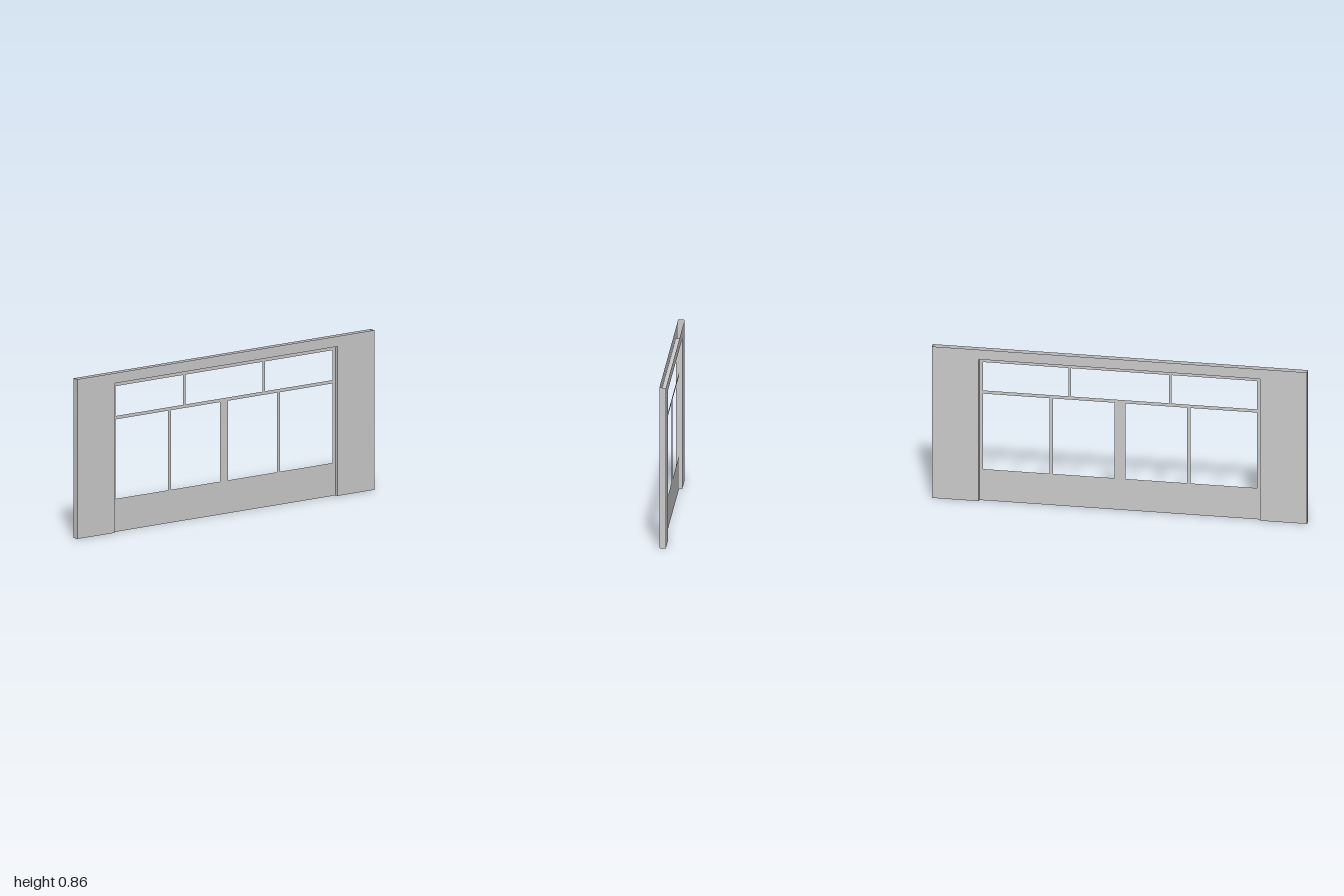
import * as THREE from 'three';

const H = 0.855, D = 0.034;          // wall height and depth
const OX = 0.75, OY = 0.8;           // opening half width and height
const material = new THREE.MeshStandardMaterial({ color: 0xcccccc, side: THREE.DoubleSide });

function add(group, name, geometry) {
  const mesh = new THREE.Mesh(geometry, material);
  mesh.name = name;
  group.add(mesh);
  return mesh;
}

const polygon = (points) => points.map(([x, y]) => new THREE.Vector2(x, y));
const rect = (x0, x1, y0, y1) => polygon([[x0, y0], [x1, y0], [x1, y1], [x0, y1]]);

export function createModel() {
  const model = new THREE.Group();
  model.name = 'windowWall';

  // Wall skins around the opening; the wall is hollow, open at top and bottom
  const wallShape = new THREE.Shape(polygon([
    [-1, 0], [-OX, 0], [-OX, OY], [OX, OY], [OX, 0], [1, 0], [1, H], [-1, H],
  ]));
  add(model, 'wallFront', new THREE.ShapeGeometry(wallShape)).position.z = D / 2;
  const back = add(model, 'wallBack', new THREE.ShapeGeometry(wallShape));
  back.rotation.y = Math.PI;
  back.position.z = -D / 2;

  // Wall ends and the side linings of the opening
  for (const s of [-1, 1]) {
    const side = s > 0 ? 'left' : 'right';
    const end = add(model, side + 'WallEnd', new THREE.PlaneGeometry(D, H));
    end.rotation.y = s * Math.PI / 2;
    end.position.set(s, H / 2, 0);
    const lining = add(model, side + 'Lining', new THREE.PlaneGeometry(D, OY));
    lining.rotation.y = -s * Math.PI / 2;
    lining.position.set(s * OX, OY / 2, 0);
  }

  // Underside of the lintel
  const soffit = add(model, 'soffit', new THREE.PlaneGeometry(2 * OX, D));
  soffit.rotation.x = Math.PI / 2;
  soffit.position.y = OY;

  // Thin window frame with three upper and four lower lights
  const frame = new THREE.Shape(rect(-OX, OX, 0, OY));
  const upper = [[-0.73, -0.275], [-0.26, 0.26], [0.275, 0.73]];
  const lower = [[-0.73, -0.377], [-0.357, -0.028], [0.028, 0.357], [0.377, 0.73]];
  for (const [x0, x1] of upper) frame.holes.push(new THREE.Path(rect(x0, x1, 0.62, 0.78)));
  for (const [x0, x1] of lower) frame.holes.push(new THREE.Path(rect(x0, x1, 0.176, 0.602)));
  add(model, 'windowFrame', new THREE.ShapeGeometry(frame));

  return model;
}
